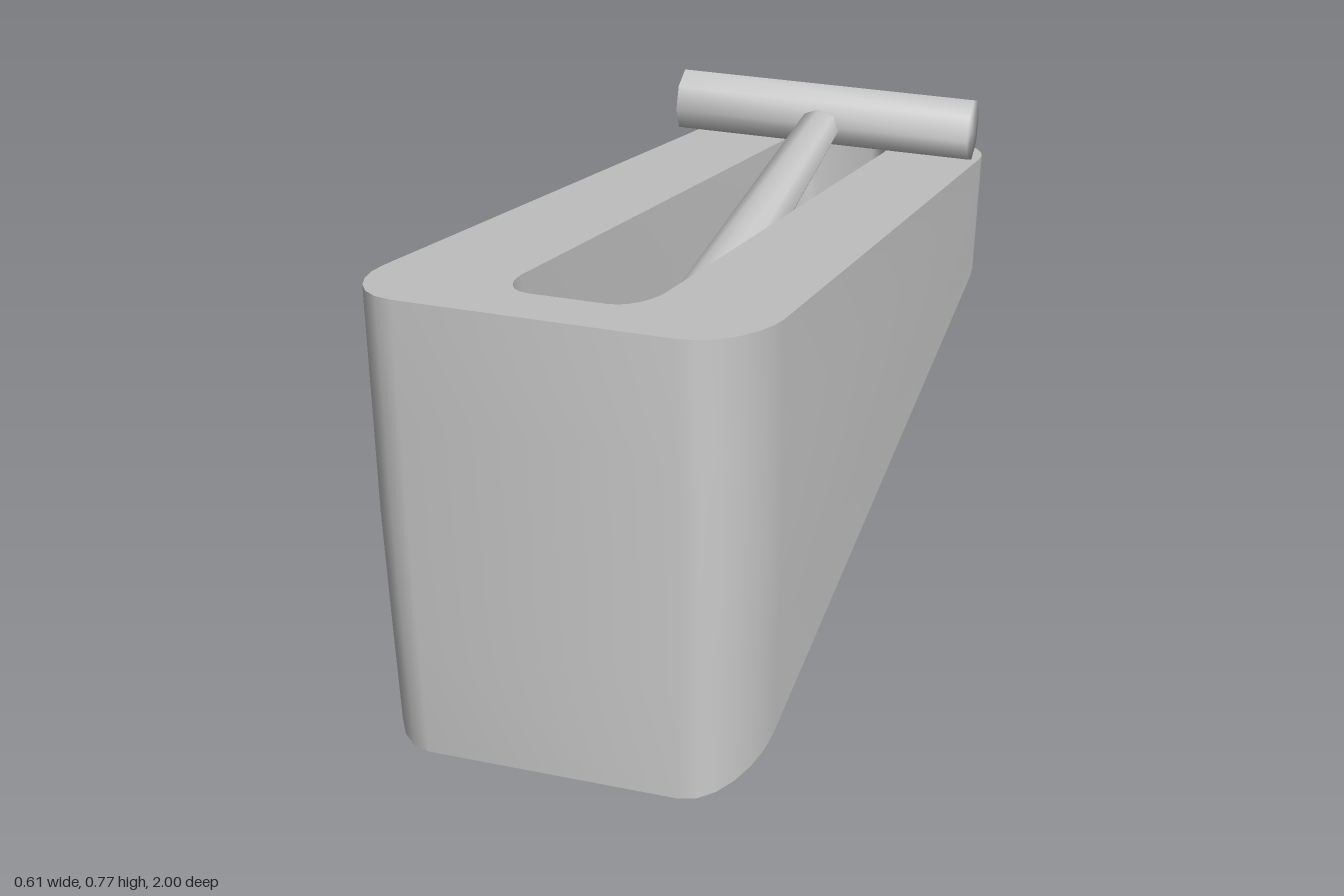
import * as THREE from 'three';
import { mergeVertices, toCreasedNormals } from 'three/addons/utils/BufferGeometryUtils.js';

const SLOT_FLOOR = 0.1;
const topHeight = (z) => 0.5 + 0.275 * z;

// Rectangle with soft elliptical corners: half width w, half length l
function outline(PathType, w, l, cx, cz) {
  const p = new PathType();
  p.moveTo(w - cx, -l);
  p.bezierCurveTo(w - cx * 0.4, -l, w, -l + cz * 0.55, w, -l + cz);
  p.lineTo(w, l - cz);
  p.bezierCurveTo(w, l - cz * 0.55, w - cx * 0.4, l, w - cx, l);
  p.lineTo(cx - w, l);
  p.bezierCurveTo(cx * 0.4 - w, l, -w, l - cz * 0.55, -w, l - cz);
  p.lineTo(-w, cz - l);
  p.bezierCurveTo(-w, cz - l * 1 - cz * 0.45, cx * 0.4 - w, -l, cx - w, -l);
  return p;
}

function extrudeUp(shape, depth, steps) {
  const g = new THREE.ExtrudeGeometry(shape, { depth, steps, bevelEnabled: false, curveSegments: 6 });
  return g.rotateX(-Math.PI / 2);
}

// Smooth-shaded eight-sided bar
function smoothBar(rTop, rBottom, length) {
  const g = new THREE.CylinderGeometry(rTop, rBottom, length, 8);
  g.deleteAttribute('normal');
  g.deleteAttribute('uv');
  const merged = mergeVertices(g, 1e-4);
  merged.computeVertexNormals();
  return merged;
}

export function createModel() {
  const group = new THREE.Group();
  const material = new THREE.MeshStandardMaterial({ color: 0xcccccc });
  const add = (name, geometry) => {
    const mesh = new THREE.Mesh(geometry, material);
    mesh.name = name;
    group.add(mesh);
    return mesh;
  };

  // Wedge body: slotted block whose top is cut to a slope, sides easing in at the base
  const shape = outline(THREE.Shape, 0.305, 1, 0.1, 0.19);
  shape.holes.push(outline(THREE.Path, 0.11, 0.86, 0.05, 0.11));
  const body = extrudeUp(shape, 1, 4);
  const pos = body.attributes.position;
  for (let i = 0; i < pos.count; i++) {
    const x = pos.getX(i), z = pos.getZ(i);
    const y = pos.getY(i) * topHeight(z);
    const outer = Math.abs(x) > 0.12 || Math.abs(z) > 0.9;
    const ease = outer ? 1 - 0.033 * Math.max(0, 1 - y / 0.35) : 1;
    pos.setXYZ(i, x * ease, y, z);
  }
  add('wedgeBody', toCreasedNormals(body, 0.8));

  // Floor closing the slot
  add('slotFloor', extrudeUp(outline(THREE.Shape, 0.11, 0.86, 0.05, 0.11), SLOT_FLOOR, 1));

  // Lever rod lying along the slot, wider towards the front
  const rod = smoothBar(0.073, 0.042, 1.53);
  rod.rotateX(Math.PI / 2).scale(1, 0.9, 1);
  add('leverRod', rod).position.set(-0.003, 0.385, 0.1);

  // Cross handle at the end of the rod
  const handle = smoothBar(0.065, 0.065, 0.61);
  handle.rotateZ(Math.PI / 2);
  add('crossHandle', handle).position.set(0, 0.392, -0.69);

  return group;
}
